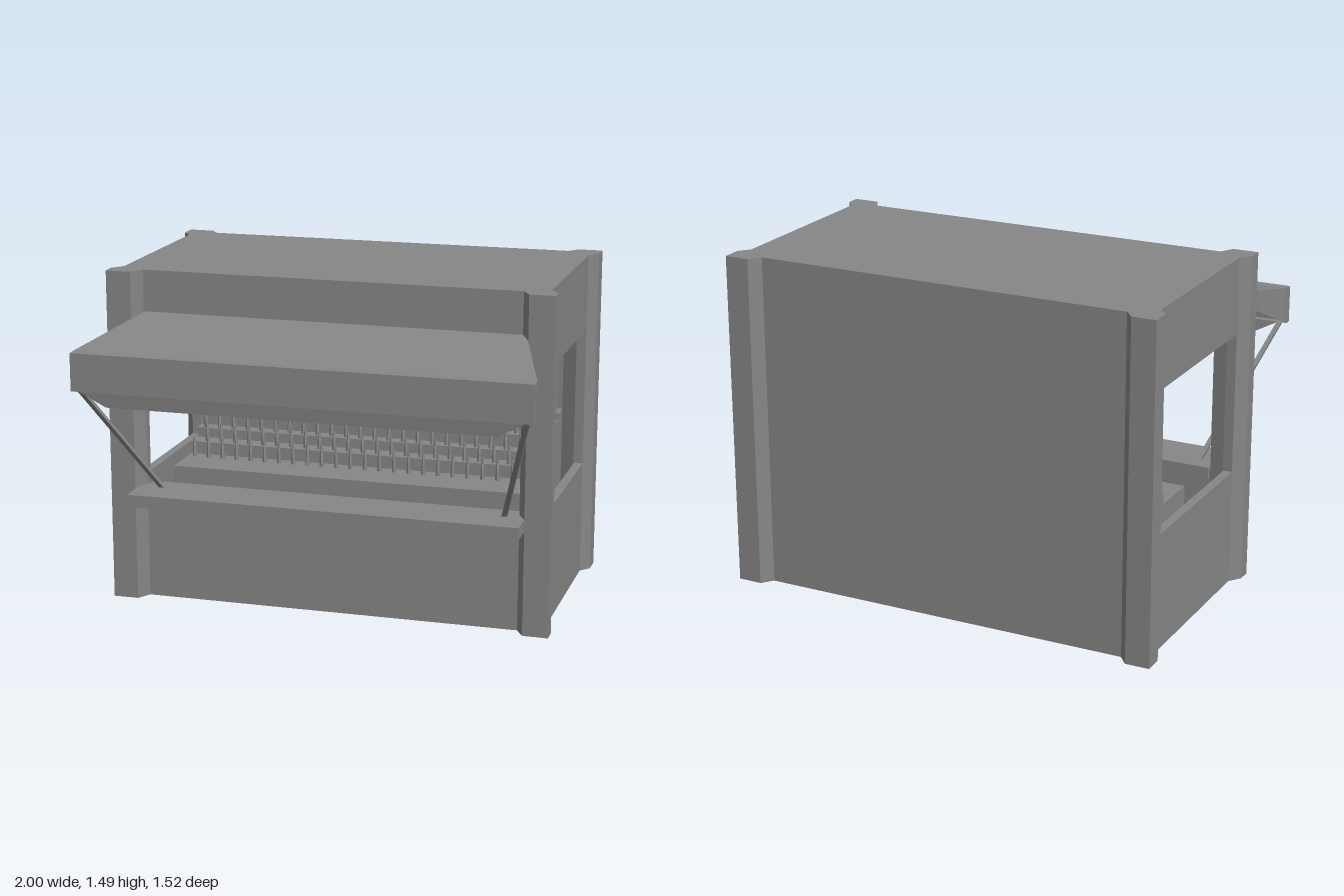
import * as THREE from 'three';
import { ConvexGeometry } from 'three/addons/geometries/ConvexGeometry.js';

const material = new THREE.MeshStandardMaterial({ color: 0x868686, flatShading: true });
const thin = new THREE.MeshStandardMaterial({ color: 0x868686, flatShading: true, side: THREE.DoubleSide });
const HEIGHT = 1.49;

function add(parent, name, geometry, mat = material) {
  const mesh = new THREE.Mesh(geometry, mat);
  mesh.name = name;
  parent.add(mesh);
  return mesh;
}

function section(parent, name) {
  const group = new THREE.Group();
  group.name = name;
  parent.add(group);
  return group;
}

// Box given by its lower and upper corners
function block(parent, name, [x0, y0, z0], [x1, y1, z1]) {
  const mesh = add(parent, name, new THREE.BoxGeometry(x1 - x0, y1 - y0, z1 - z0));
  mesh.position.set((x0 + x1) / 2, (y0 + y1) / 2, (z0 + z1) / 2);
}

// Solid spanning the given corners
function solid(parent, name, corners) {
  add(parent, name, new ConvexGeometry(corners.map((c) => new THREE.Vector3(...c))));
}

const mirrored = ([x, y, z]) => [-x, y, z];
const bothSides = (points) => [...points, ...points.map(mirrored)];

function outline(points) {
  return new THREE.Shape(points.map(([x, y]) => new THREE.Vector2(x, y)));
}

// Surface from four-cornered panels
function panels(quads) {
  const positions = [];
  for (const [a, b, c, d] of quads) positions.push(...a, ...b, ...c, ...a, ...c, ...d);
  const geometry = new THREE.BufferGeometry();
  geometry.setAttribute('position', new THREE.Float32BufferAttribute(positions, 3));
  geometry.computeVertexNormals();
  return geometry;
}

function buildBody(group) {
  // Corner posts with chamfered shoulders
  const corners = {
    frontPost: [[0.953, 0.2], [0.993, 0.255], [0.993, 0.317], [0.88, 0.317], [0.845, 0.255], [0.845, 0.215], [0.91, 0.2]],
    backPost: [[0.953, -0.625], [0.993, -0.672], [0.993, -0.76], [0.885, -0.76], [0.845, -0.71], [0.845, -0.66], [0.91, -0.625]],
  };
  for (const s of [-1, 1]) {
    for (const [name, points] of Object.entries(corners)) {
      const shape = outline(points.map(([x, z]) => [s * x, z]));
      const geometry = new THREE.ExtrudeGeometry(shape, { depth: HEIGHT, bevelEnabled: false });
      geometry.rotateX(Math.PI / 2).translate(0, HEIGHT, 0);
      add(group, name, geometry);
    }
    // Side walls below and above the window
    const x0 = s > 0 ? 0.913 : -0.953;
    block(group, 'lowerSideWall', [x0, 0, -0.66], [x0 + 0.04, 0.52, 0.21]);
    block(group, 'upperSideWall', [x0, 1.15, -0.66], [x0 + 0.04, HEIGHT, 0.21]);
  }
  block(group, 'backWall', [-0.86, 0, -0.71], [0.86, HEIGHT, -0.67]);
  block(group, 'lowerFrontWall', [-0.85, 0, 0.215], [0.85, 0.5, 0.255]);
  block(group, 'frontHeader', [-0.85, 1.29, 0.215], [0.85, HEIGHT, 0.255]);
  block(group, 'roof', [-0.94, 1.45, -0.7], [0.94, HEIGHT, 0.25]);
  block(group, 'floor', [-0.92, 0.07, -0.68], [0.92, 0.1, 0.225]);
}

function buildCounter(group) {
  block(group, 'counterTop', [-0.875, 0.465, 0.25], [0.875, 0.52, 0.44]);
  block(group, 'counterInnerEdge', [-0.845, 0.465, 0.2], [0.845, 0.52, 0.26]);
  // Sloping support under the counter
  solid(group, 'counterSupport', bothSides([[0.875, 0.465, 0.44], [0.875, 0.465, 0.25], [0.75, 0.42, 0.25]]));
}

function buildAwning(group) {
  const hinge = [0.85, 1.305, 0.255], hingeLow = [0.85, 1.295, 0.255];
  const knee = [0.993, 1.222, 0.715], lip = [0.993, 1.22, 0.76];
  const lipLow = [0.993, 1.055, 0.76], kneeLow = [0.993, 1.055, 0.73];
  const across = (a, b) => [a, b, mirrored(b), mirrored(a)];
  const side = [[hinge, hingeLow, kneeLow, knee], [knee, kneeLow, lipLow, lip]];
  // Hollow canopy
  add(group, 'awning', panels([
    across(hinge, knee), across(knee, lip), across(lip, lipLow), across(lipLow, kneeLow),
    ...side, ...side.map((quad) => quad.map(mirrored).reverse()),
  ]), thin);
  // Tapered valance hanging from the front lip
  solid(group, 'valance', bothSides([
    [0.955, 1.055, 0.758], [0.955, 1.055, 0.746], [0.84, 0.993, 0.75], [0.84, 0.993, 0.74],
  ]));
  // Slanted props from the counter to the lip
  for (const s of [-1, 1]) {
    const corners = [];
    for (const [x, y, z] of [[0.775, 0.515, 0.277], [0.96, 1.058, 0.735]]) {
      for (const dx of [-0.011, 0.011]) {
        for (const dz of [-0.013, 0.013]) corners.push([s * (x + dx), y, z + dz]);
      }
    }
    solid(group, 'awningProp', corners);
  }
}

function buildDisplay(group) {
  // Front edge and height of each display step
  const steps = [[-0.05, 0.522], [-0.28, 0.58], [-0.365, 0.625], [-0.43, 0.685], [-0.49, 0.73], [-0.575, 0.76]];
  const profile = [[-0.68, 0.09], [-0.05, 0.09]];
  steps.forEach(([z, y], i) => {
    profile.push([z, y], [i < 5 ? steps[i + 1][0] : -0.68, y]);
  });
  const geometry = new THREE.ExtrudeGeometry(outline(profile), { depth: 1.68, bevelEnabled: false });
  geometry.rotateY(-Math.PI / 2).translate(0.84, 0, 0);
  add(group, 'displaySteps', geometry);

  // Staggered rows of bottles, each row with its depth and bottle height
  const bottle = new THREE.LatheGeometry(
    [[0, 0], [0.01, 0], [0.009, 0.5], [0.006, 0.8], [0.005, 1], [0, 1]].map(([r, y]) => new THREE.Vector2(r, y)), 6);
  const rows = [[-0.23, 0.1], [-0.312, 0.085], [-0.39, 0.085], [-0.46, 0.087], [-0.53, 0.09], [-0.606, 0.1]];
  rows.forEach(([z, height], row) => {
    const bottles = section(group, 'bottleRow');
    for (let i = 0; i < 24; i++) {
      const x = -0.77 + i * 0.0685 - (row % 2 ? 0 : 0.034);
      const mesh = add(bottles, 'bottle', bottle);
      mesh.position.set(x, steps[row][1], z);
      mesh.scale.y = height;
    }
  });
}

export function createModel() {
  const group = new THREE.Group();
  group.name = 'marketKiosk';
  const body = section(group, 'body');
  body.position.x = -0.005;
  buildBody(body);
  buildCounter(section(group, 'counter'));
  const awning = section(group, 'awningAssembly');
  awning.position.x = 0.005;
  buildAwning(awning);
  buildDisplay(section(group, 'display'));
  return group;
}
